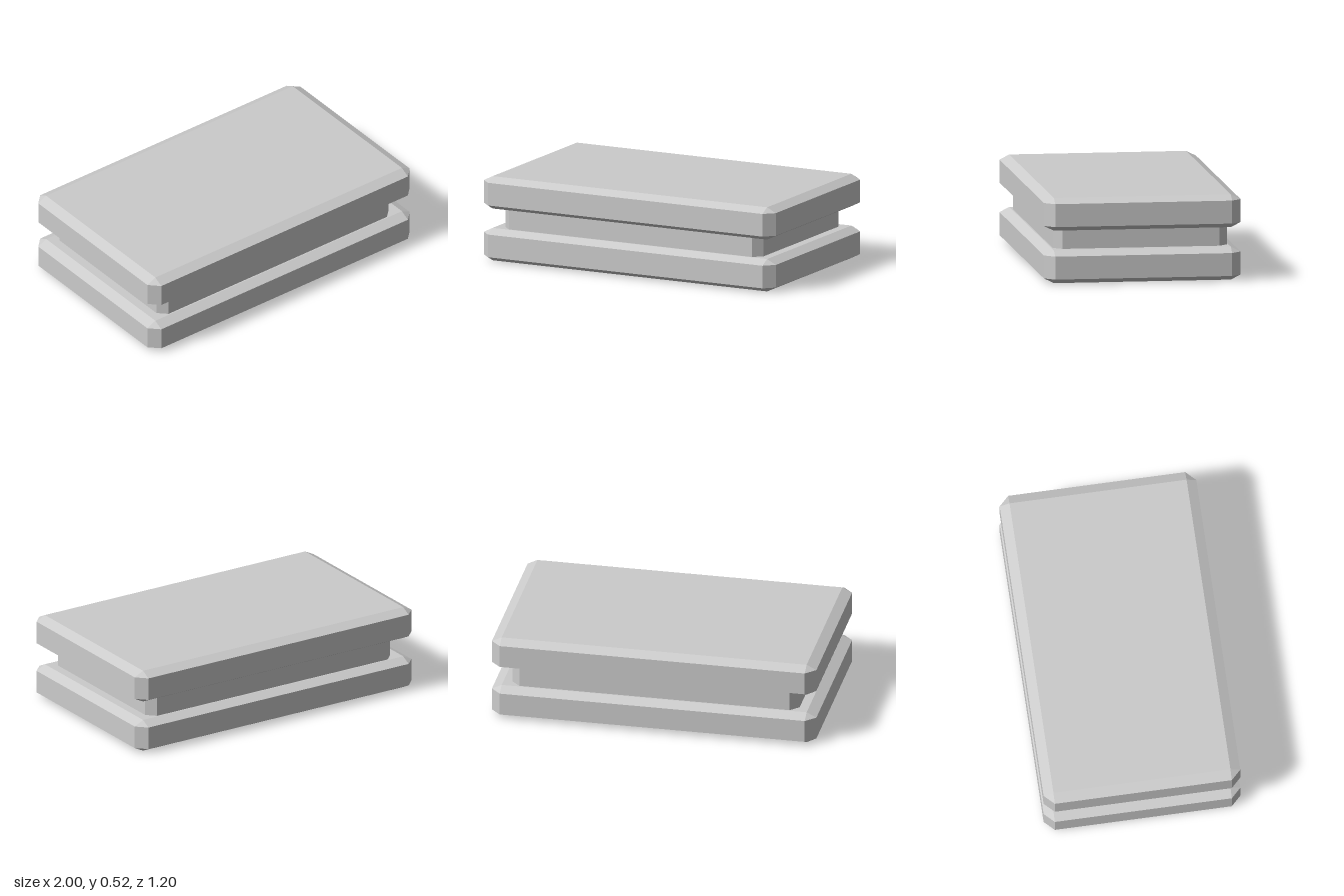
import * as THREE from 'three';
import { ConvexGeometry } from 'three/addons/geometries/ConvexGeometry.js';

const material = new THREE.MeshStandardMaterial({ color: 0xcccccc, flatShading: true });

// Block with cut vertical corners; bevelY > 0 also slopes the top and bottom edges
function chamferedBlock(name, halfX, halfZ, y0, y1, cut, bevelY) {
  const points = [];
  for (const sx of [-1, 1]) for (const sz of [-1, 1]) {
    for (const [y, dir] of [[y0, 1], [y1, -1]]) {
      const rim = y + dir * bevelY;
      points.push(
        new THREE.Vector3(sx * halfX, rim, sz * (halfZ - cut)),
        new THREE.Vector3(sx * (halfX - cut), rim, sz * halfZ));
      if (bevelY > 0) points.push(new THREE.Vector3(sx * (halfX - cut), y, sz * (halfZ - cut)));
    }
  }
  const mesh = new THREE.Mesh(new ConvexGeometry(points), material);
  mesh.name = name;
  return mesh;
}

export function createModel() {
  const group = new THREE.Group();
  group.name = 'layeredSlab';
  group.add(
    chamferedBlock('lowerSlab', 1, 0.6, 0, 0.2, 0.06, 0.03),
    chamferedBlock('recessedCore', 0.885, 0.532, 0.2, 0.32, 0.052, 0),
    chamferedBlock('upperSlab', 1, 0.6, 0.32, 0.52, 0.06, 0.03));
  return group;
}
